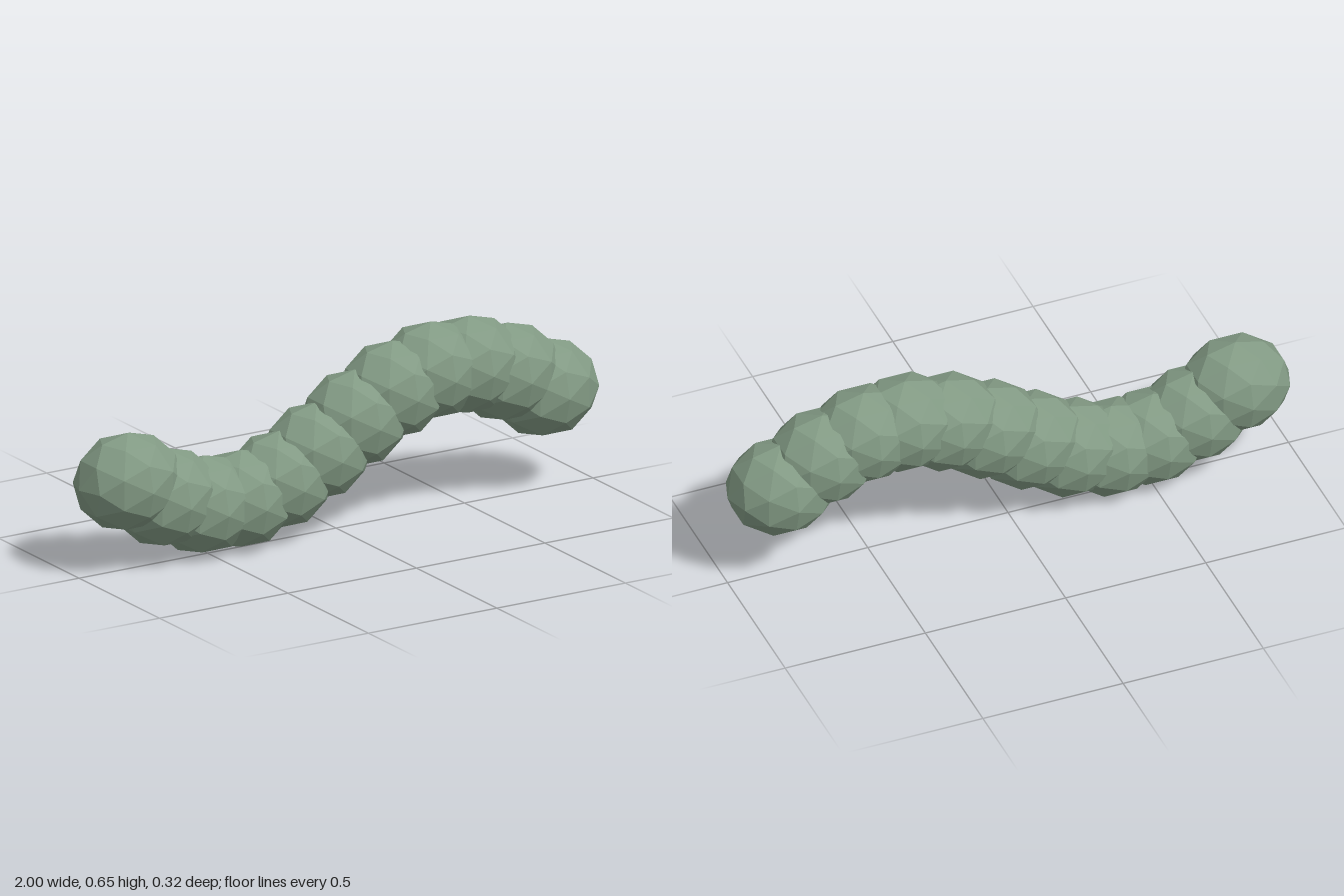
import * as THREE from 'three';

export function createModel() {
  const group = new THREE.Group();
  group.name = 'segmentedWorm';

  const mossGreen = new THREE.MeshStandardMaterial({ color: 0x829a84 });
  mossGreen.name = 'mossGreen';

  // One faceted body segment, slightly longer than it is wide
  const segmentGeometry = new THREE.IcosahedronGeometry(1, 1);
  segmentGeometry.scale(0.19, 0.168, 0.161);
  segmentGeometry.computeVertexNormals(); // unindexed, so each facet stays flat

  // Overlapping segments along a sine wave
  const count = 12;
  for (let i = 0; i < count; i++) {
    const t = i / (count - 1) - 0.5;
    const segment = new THREE.Mesh(segmentGeometry, mossGreen);
    segment.name = `bodySegment${i + 1}`;
    segment.position.set(1.62 * t, 0.327 + 0.162 * Math.sin(6 * t), 0);
    group.add(segment);
  }
  return group;
}
